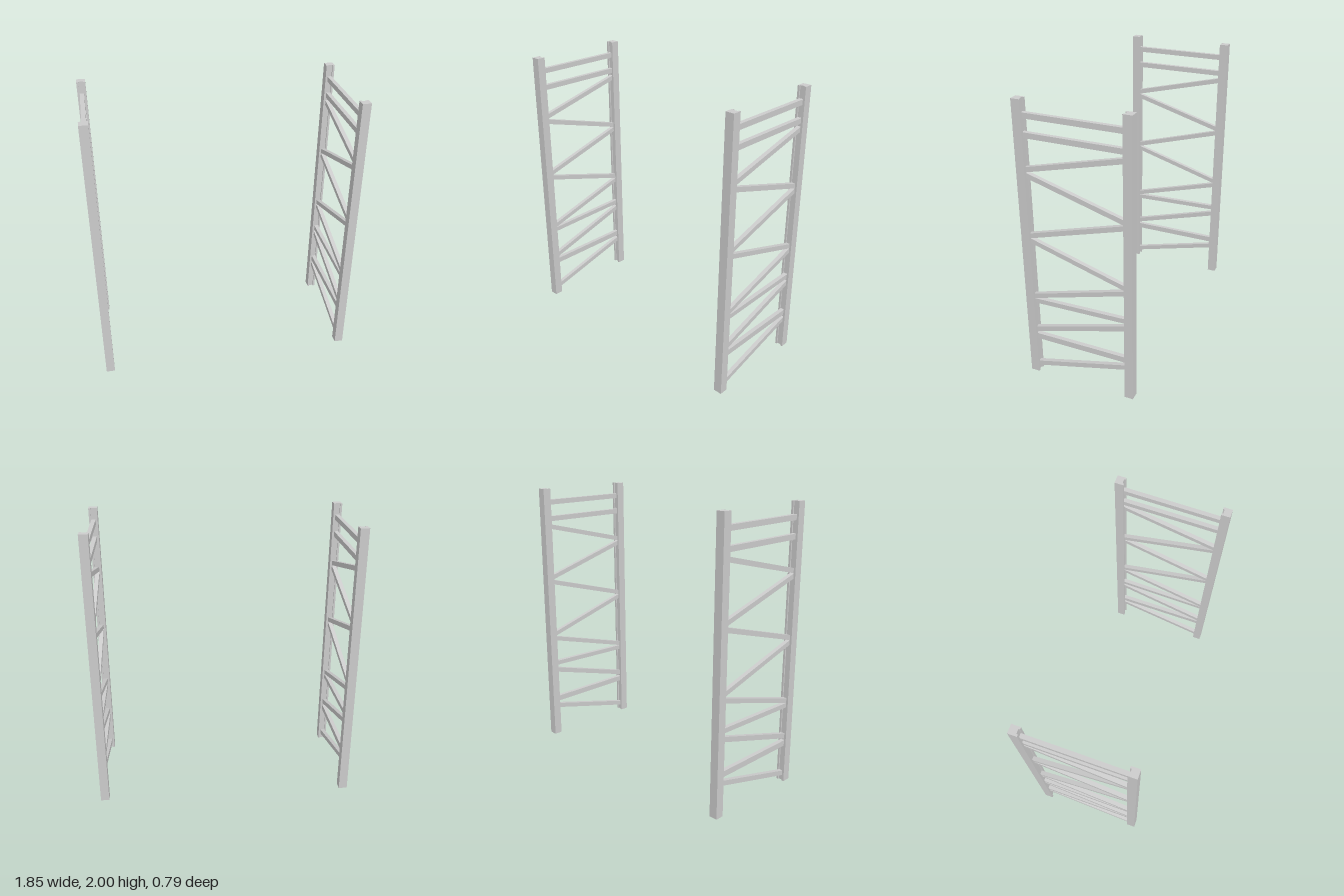
import * as THREE from 'three';

const HEIGHT = 2, POST = 0.061, GROOVE_W = 0.032, GROOVE_D = 0.01;
const FRAME_X = 0.892, POST_Z = 0.362, BRACE_W = 0.03, BRACE_END = 0.34, FACE_Z = 0.332;

const material = new THREE.MeshStandardMaterial({ color: 0xcccccc, flatShading: true });

function extrude(points, depth) {
  const shape = new THREE.Shape(points.map(([x, y]) => new THREE.Vector2(x, y)));
  return new THREE.ExtrudeGeometry(shape, { depth, bevelEnabled: false });
}

// Upright with a shallow groove on its inner face (towards -z)
function postGeometry() {
  const h = POST / 2, g = GROOVE_W / 2;
  return extrude([
    [-h, -h], [h, -h], [h, h], [g, h], [g, h - GROOVE_D], [-g, h - GROOVE_D], [-g, h], [-h, h],
  ], HEIGHT).rotateX(-Math.PI / 2);
}

// Brace with vertical end cuts; heights are given where it meets the post faces
function braceGeometry(front, rear, thickness) {
  const extra = (BRACE_END - FACE_Z) * (rear - front) / (2 * FACE_Z);
  const f = front - extra, r = rear + extra, t = thickness / 2;
  return extrude([
    [-BRACE_END, f - t], [BRACE_END, r - t], [BRACE_END, r + t], [-BRACE_END, f + t],
  ], BRACE_W).rotateY(Math.PI / 2).translate(-BRACE_W / 2, 0, 0);
}

// Centre height at the front post, at the rear post, and vertical thickness
const BRACES = [
  [0.061, 0.236, 0.036],
  [0.297, 0.297, 0.042],
  [0.353, 0.549, 0.037],
  [0.588, 0.606, 0.034],
  [0.624, 0.816, 0.034],
  [1.048, 0.853, 0.034],
  [1.084, 1.278, 0.035],
  [1.508, 1.315, 0.035],
  [1.547, 1.713, 0.035],
  [1.772, 1.772, 0.037],
  [1.897, 1.897, 0.037],
];

function createFrame(name) {
  const frame = new THREE.Group();
  frame.name = name;
  const add = (geometry, partName) => {
    const mesh = new THREE.Mesh(geometry, material);
    mesh.name = partName;
    frame.add(mesh);
    return mesh;
  };
  const post = postGeometry();
  add(post, 'frontPost').position.z = POST_Z;
  const rear = add(post, 'rearPost');
  rear.position.z = -POST_Z;
  rear.rotation.y = Math.PI;
  BRACES.forEach(([f, r, t], i) =>
    add(braceGeometry(f, r, t), (f === r ? 'crossbar' : 'diagonalBrace') + (i + 1)));
  return frame;
}

export function createModel() {
  const model = new THREE.Group();
  model.name = 'rackFrames';
  for (const [name, side] of [['leftFrame', 1], ['rightFrame', -1]]) {
    const frame = createFrame(name);
    frame.position.x = side * FRAME_X;
    model.add(frame);
  }
  return model;
}
